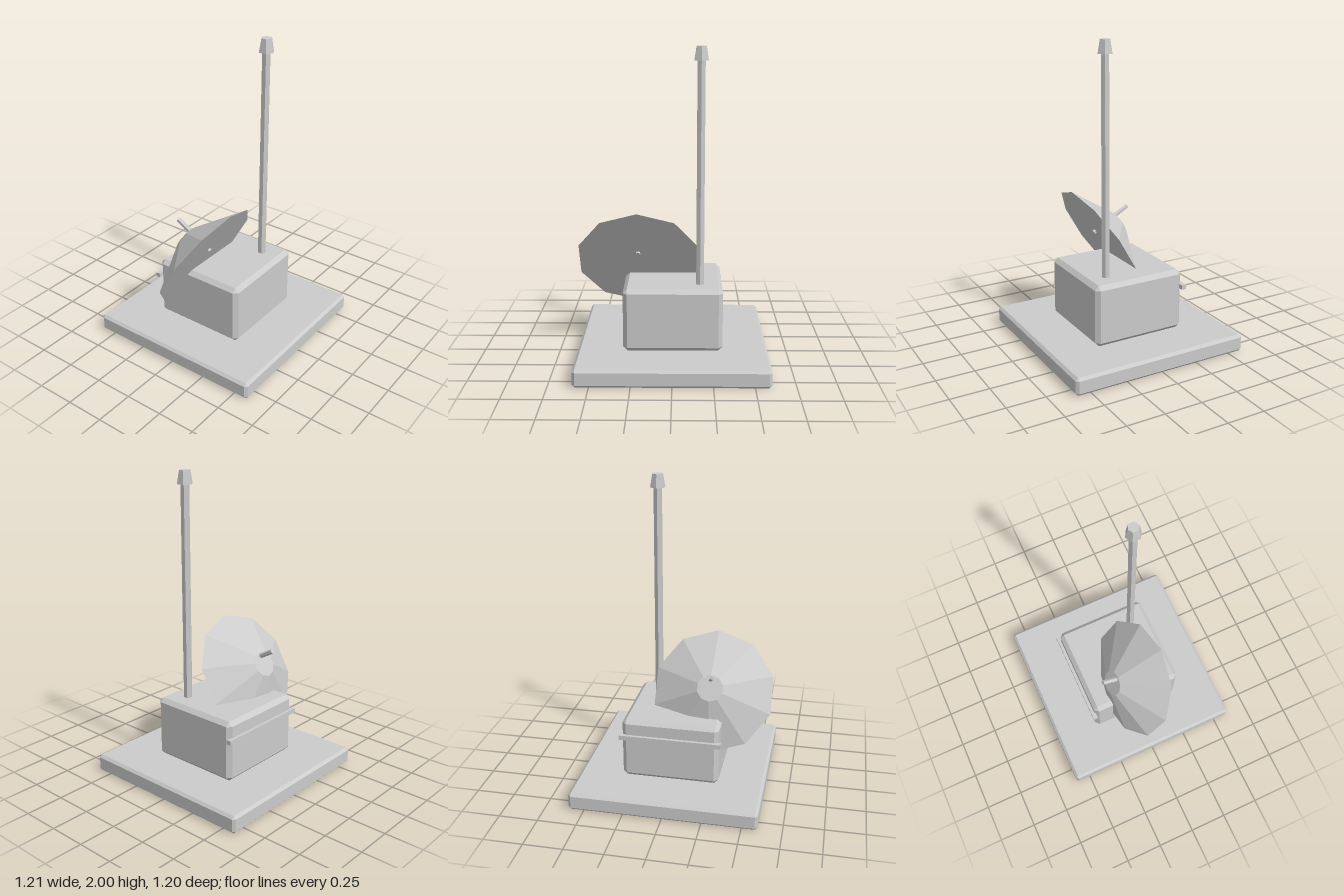
import * as THREE from 'three';
import { ConvexGeometry } from 'three/addons/geometries/ConvexGeometry.js';

const material = new THREE.MeshStandardMaterial({ color: 0xcccccc, flatShading: true });

function part(name, geometry, x, y, z, parent) {
  const mesh = new THREE.Mesh(geometry, material);
  mesh.name = name;
  mesh.position.set(x, y, z);
  parent.add(mesh);
  return mesh;
}

// Box with every edge and corner chamfered by c
function chamferedBox(w, h, d, c) {
  const points = [];
  for (const sx of [-1, 1]) for (const sy of [-1, 1]) for (const sz of [-1, 1]) {
    const x = w / 2, y = h / 2, z = d / 2;
    points.push(
      new THREE.Vector3(sx * x, sy * (y - c), sz * (z - c)),
      new THREE.Vector3(sx * (x - c), sy * y, sz * (z - c)),
      new THREE.Vector3(sx * (x - c), sy * (y - c), sz * z)
    );
  }
  return new ConvexGeometry(points);
}

export function createModel() {
  const model = new THREE.Group();
  model.name = 'antennaStation';

  // Ground slab and equipment housing
  part('baseSlab', chamferedBox(1.2, 0.115, 1.2, 0.017), 0, 0.0575, 0, model);
  part('housing', chamferedBox(0.625, 0.405, 0.625, 0.027), 0.002, 0.3175, -0.002, model);
  part('rearRail', new THREE.BoxGeometry(0.655, 0.03, 0.03), 0.002, 0.403, -0.32, model);

  // Hexagonal mast with a tapered cap
  part('mast', new THREE.CylinderGeometry(0.028, 0.028, 1.45, 6), 0.173, 1.22, 0.17, model);
  part('mastCap', new THREE.CylinderGeometry(0.035, 0.05, 0.085, 6), 0.173, 1.9575, 0.17, model);

  // Ten-sided dish, its broad face tipped forward and down
  const dish = new THREE.Group();
  dish.name = 'dishAssembly';
  dish.position.set(-0.225, 0.63, 0);
  dish.rotation.x = -Math.PI / 3;
  model.add(dish);
  part('dish', new THREE.CylinderGeometry(0.085, 0.4, 0.17, 10), 0, 0.085, 0, dish);
  part('dishRod', new THREE.CylinderGeometry(0.016, 0.016, 0.295, 6), 0, 0.1325, 0.058, dish);

  return model;
}
